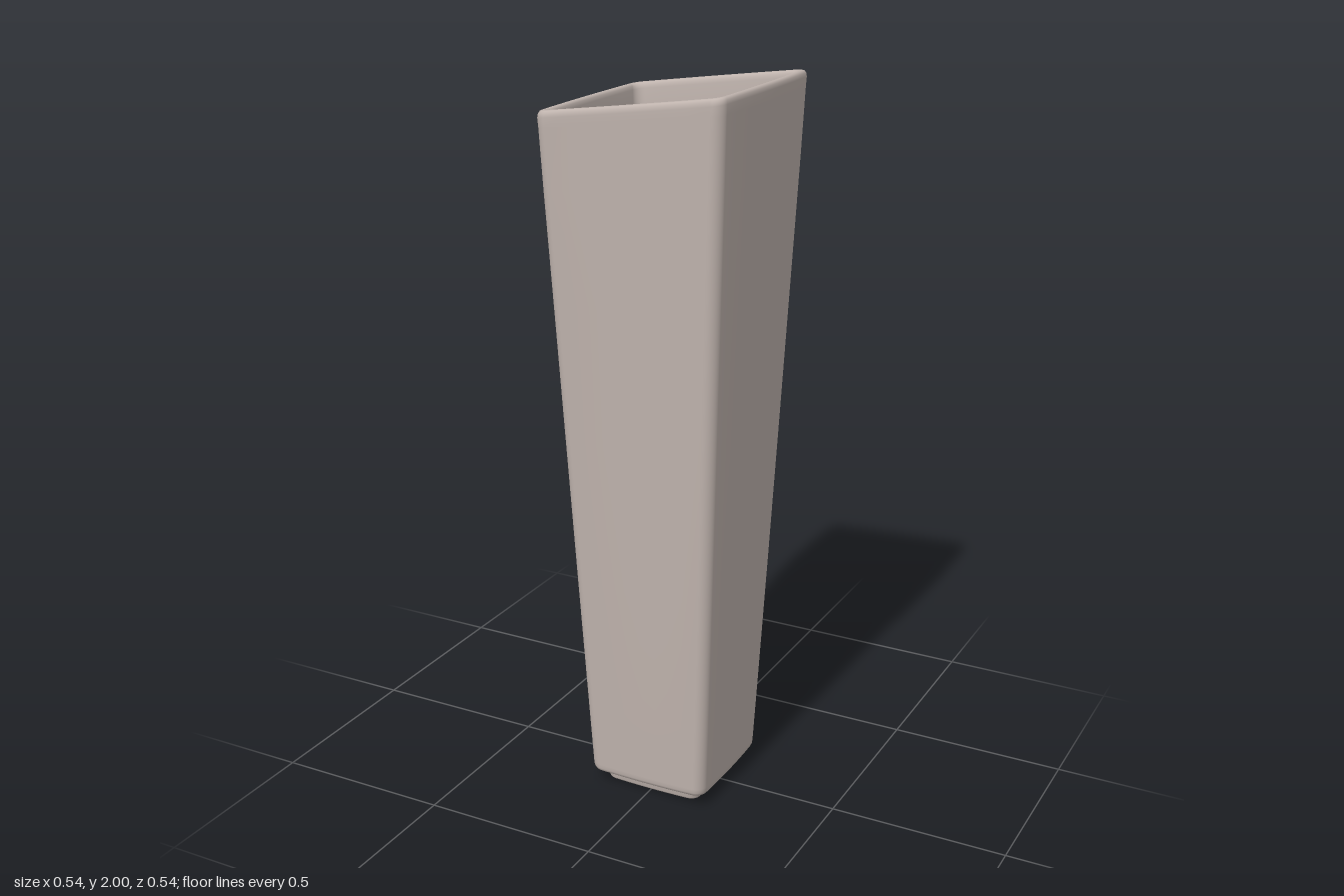
import * as THREE from 'three';

const RIM = 1.962; // mean rim height
const SLANT = 0.14; // rise of the rim per unit of x

// Rounded square with gently bulging sides, as [x, z] points
function squareLoop(half, radius) {
  const points = [];
  const core = half - radius;
  const arc = 8, side = 8;
  for (let q = 0; q < 4; q++) {
    const turn = q * Math.PI / 2;
    const local = [];
    for (let i = 0; i < side; i++) local.push([half, core * (2 * i / side - 1)]);
    for (let i = 0; i < arc; i++) {
      const a = i / arc * Math.PI / 2;
      local.push([core + radius * Math.cos(a), core + radius * Math.sin(a)]);
    }
    for (const [u, v] of local) {
      const x = u * (1 - 0.03 * (v / half) ** 2);
      const z = v * (1 - 0.03 * (u / half) ** 2);
      points.push([x * Math.cos(turn) - z * Math.sin(turn), x * Math.sin(turn) + z * Math.cos(turn)]);
    }
  }
  return points;
}

// Skin square loops along a profile of [half width, height, corner radius]
function loftSquares(profile) {
  const positions = [], index = [];
  let n = 0;
  for (const [half, y, radius] of profile) {
    const loop = squareLoop(half, radius);
    n = loop.length;
    // the slant fades out towards the base
    for (const [x, z] of loop) positions.push(x, y + SLANT * x * (y / RIM) ** 2, z);
  }
  for (let i = 0; i < profile.length - 1; i++) {
    for (let j = 0; j < n; j++) {
      const a = i * n + j, b = i * n + (j + 1) % n;
      index.push(a, a + n, b, b, a + n, b + n);
    }
  }
  const geometry = new THREE.BufferGeometry();
  geometry.setAttribute('position', new THREE.Float32BufferAttribute(positions, 3));
  geometry.setIndex(index);
  geometry.computeVertexNormals();
  return geometry;
}

export function createModel() {
  const group = new THREE.Group();
  group.name = 'squareVase';
  const ceramic = new THREE.MeshStandardMaterial({ color: 0xc0b4ae });
  ceramic.name = 'warm grey ceramic';

  // Tapered shell: underside, outer wall, rounded rim, inner wall, floor
  const body = new THREE.Mesh(loftSquares([
    [0.13, 0.033, 0.02], [0.165, 0.033, 0.025], [0.172, 0.034, 0.028],
    [0.179, 0.039, 0.03], [0.182, 0.047, 0.03], [0.183, 0.06, 0.03],
    [0.192, 0.25, 0.03], [0.21, 0.64, 0.03], [0.229, 1.06, 0.03],
    [0.246, 1.44, 0.03], [0.26, 1.75, 0.03], [0.267, 1.92, 0.03],
    [0.2685, 1.945, 0.03], [0.267, 1.955, 0.03], [0.263, 1.961, 0.029],
    [0.257, 1.963, 0.027], [0.25, 1.961, 0.025], [0.246, 1.955, 0.024],
    [0.244, 1.945, 0.024], [0.241, 1.9, 0.024], [0.235, 1.75, 0.024],
    [0.221, 1.44, 0.024], [0.204, 1.06, 0.024], [0.186, 0.64, 0.024],
    [0.169, 0.25, 0.024], [0.163, 0.1, 0.024], [0.161, 0.084, 0.024],
    [0.157, 0.075, 0.023], [0.15, 0.071, 0.022], [0.14, 0.07, 0.02],
    [0.001, 0.07, 0.0005],
  ]), ceramic);
  body.name = 'vaseBody';

  // Low foot ring with a recessed underside
  const foot = new THREE.Mesh(loftSquares([
    [0.001, 0.02, 0.0005], [0.11, 0.02, 0.015], [0.116, 0.019, 0.015],
    [0.119, 0.015, 0.016], [0.121, 0.005, 0.017], [0.125, 0.001, 0.018],
    [0.13, 0, 0.02], [0.139, 0, 0.022], [0.144, 0.002, 0.024],
    [0.147, 0.007, 0.025], [0.15, 0.028, 0.026], [0.152, 0.034, 0.026],
  ]), ceramic);
  foot.name = 'footRing';

  group.add(body, foot);
  return group;
}
